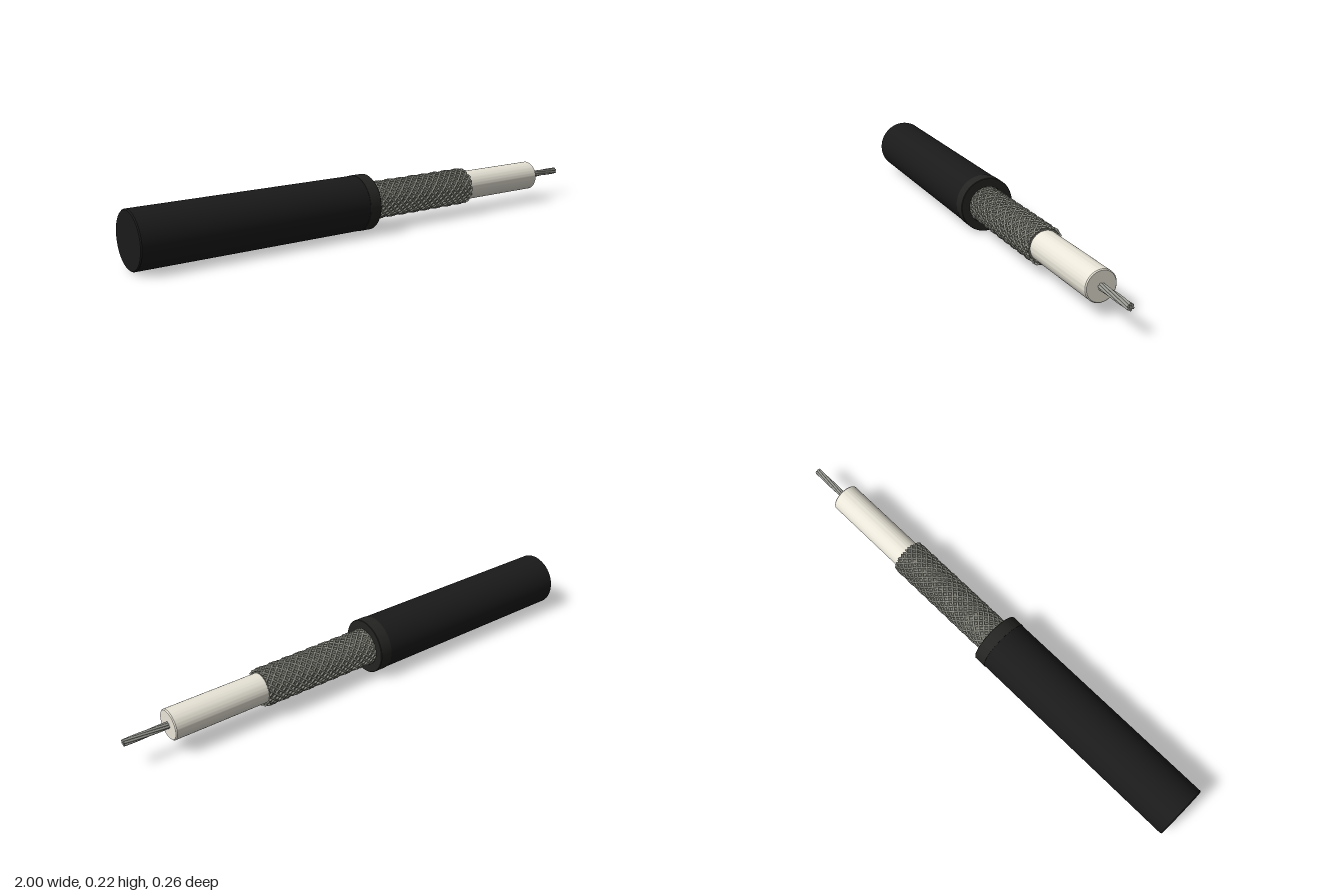
import * as THREE from 'three';
import { toCreasedNormals } from 'three/addons/utils/BufferGeometryUtils.js';

const paint = (color) => new THREE.MeshStandardMaterial({ color });
const jacketBlack = paint(0x1a1a1a);
const collarBlack = paint(0x242422);
const braidGrey = paint(0x8c8c84);
const shieldGrey = paint(0x77776f);
const cream = paint(0xe9e5d8);
const copperGrey = paint(0x9a9a94);

// Solid of revolution around the cable's x axis; profile is [x, radius] pairs
function turned(name, profile, material, sides = 64) {
  const points = profile.map(([x, r]) => new THREE.Vector2(r, x));
  const geometry = new THREE.LatheGeometry(points, sides);
  geometry.rotateZ(-Math.PI / 2);
  const mesh = new THREE.Mesh(toCreasedNormals(geometry, 0.5), material);
  mesh.name = name;
  return mesh;
}

// Wire following a helix; radiusAt gives its distance from the axis
class Helix extends THREE.Curve {
  constructor(x0, x1, start, turns, radiusAt) {
    super();
    Object.assign(this, { x0, x1, start, turns, radiusAt });
  }
  getPoint(t, target = new THREE.Vector3()) {
    const a = this.start + t * this.turns * Math.PI * 2;
    const r = this.radiusAt(t);
    return target.set(this.x0 + (this.x1 - this.x0) * t, r * Math.cos(a), r * Math.sin(a));
  }
}

// Two opposing sets of wires that pass over and under each other
function braid(x0, x1) {
  const group = new THREE.Group();
  group.name = 'braidedShield';
  const count = 16, turns = 1.12;
  for (const dir of [1, -1]) {
    for (let i = 0; i < count; i++) {
      const weave = (t) => 0.0685 + dir * 0.0016 * Math.sin(t * turns * count * Math.PI * 2 + i * Math.PI);
      const path = new Helix(x0, x1, (i / count) * Math.PI * 2, dir * turns, weave);
      const wire = new THREE.Mesh(new THREE.TubeGeometry(path, 96, 0.0045, 6), braidGrey);
      wire.name = 'braidWire';
      group.add(wire);
    }
  }
  return group;
}

// Seven lightly twisted strands with flat ends
function conductor(x0, x1) {
  const group = new THREE.Group();
  group.name = 'conductor';
  const strandRadius = 0.0045;
  for (let i = 0; i < 7; i++) {
    const offset = i === 0 ? 0 : strandRadius * 2;
    const path = new Helix(x0, x1, (i / 6) * Math.PI * 2, 0.35, () => offset);
    const strand = new THREE.Mesh(new THREE.TubeGeometry(path, 24, strandRadius, 12), copperGrey);
    strand.name = 'strand';
    const cap = new THREE.Mesh(new THREE.CircleGeometry(strandRadius, 12), copperGrey);
    cap.name = 'strandEnd';
    cap.rotation.y = Math.PI / 2;
    cap.position.copy(path.getPoint(1));
    group.add(strand, cap);
  }
  return group;
}

export function createModel() {
  const model = new THREE.Group();
  model.name = 'coaxialCable';
  const cable = new THREE.Group();
  cable.name = 'cable';

  // Outer jacket, closed at the uncut end
  cable.add(turned('jacket', [
    [-0.996, 0], [-0.996, 0.103], [-0.992, 0.1065], [-0.08, 0.1065],
  ], jacketBlack));

  // Cut end of the jacket
  cable.add(turned('jacketCollar', [
    [-0.085, 0.1], [-0.085, 0.108], [-0.037, 0.108], [-0.035, 0.106], [-0.035, 0.074], [-0.07, 0.074],
  ], collarBlack));

  // Braid and the sleeve beneath it
  cable.add(braid(-0.06, 0.453));
  cable.add(turned('shieldSleeve', [
    [-0.08, 0.065], [0.45, 0.065], [0.45, 0.057],
  ], shieldGrey));

  // Insulating core
  cable.add(turned('insulation', [
    [-0.08, 0.0586], [0.826, 0.0586], [0.83, 0.055], [0.83, 0],
  ], cream));

  cable.add(conductor(0.8, 1));

  // The cable lies at a slight angle across the ground
  cable.position.set(0, 0.108, 0.022);
  cable.rotation.y = -0.0432;
  model.add(cable);
  return model;
}
